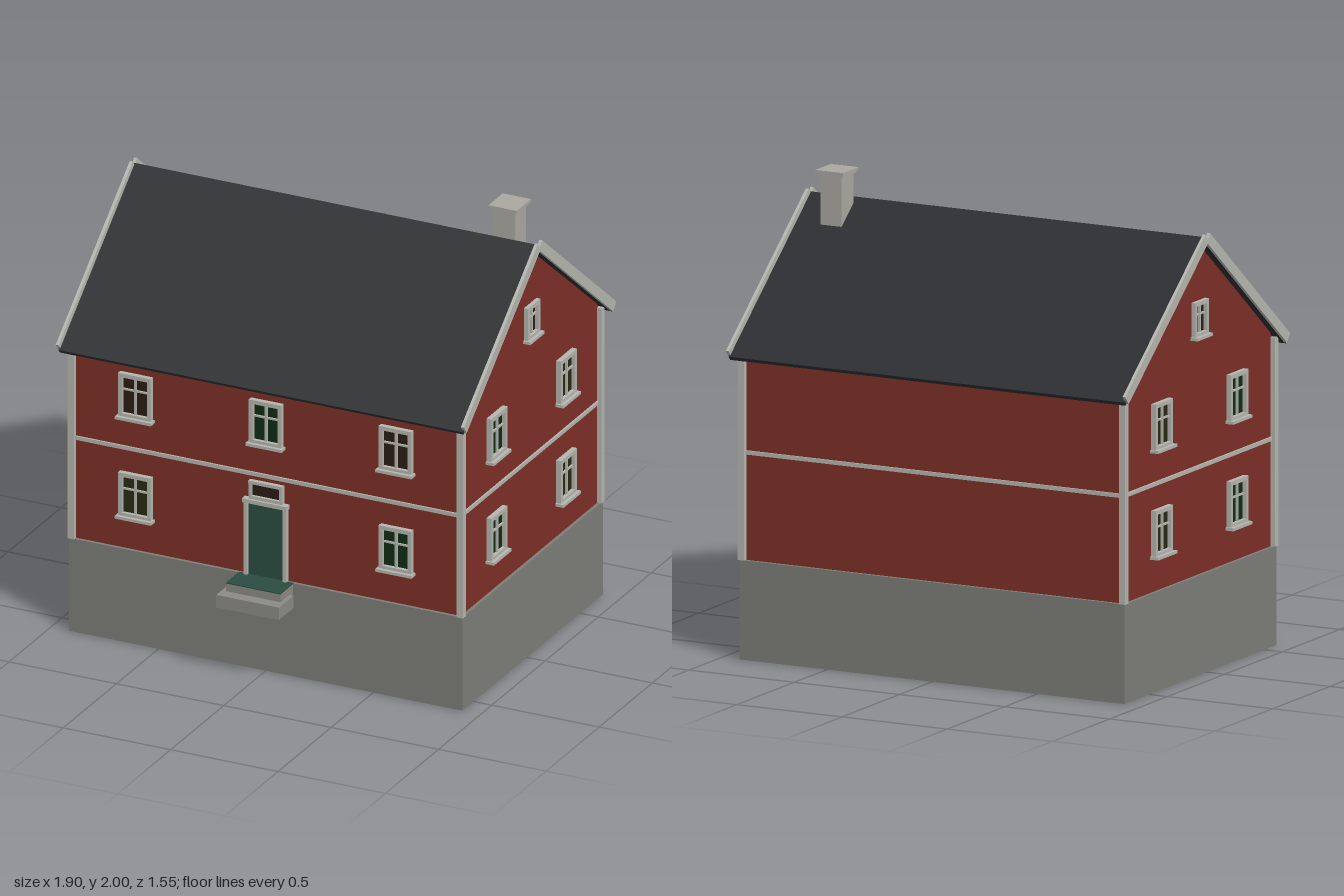
import * as THREE from 'three';

const mat = (color) => new THREE.MeshStandardMaterial({ color });
const RED = mat(0x7d3027), STONE = mat(0x7d7e78), TRIM = mat(0xb6b7b0), ROOF = mat(0x2d2e31);
const GREEN = mat(0x2b4c41), STEP = mat(0x8c8b85), BRICK = mat(0xaaa8a0);
const BROWN_GLASS = mat(0x2c1d14), GREEN_GLASS = mat(0x0f2c14), OLIVE_GLASS = mat(0x2b2a14);
const ZC = -0.055; // middle of the house in z
const PITCH = THREE.MathUtils.degToRad(38.8);

// Box given by its limits on each axis
function box(parent, name, material, [x0, x1], [y0, y1], [z0, z1]) {
  const mesh = new THREE.Mesh(new THREE.BoxGeometry(x1 - x0, y1 - y0, z1 - z0), material);
  mesh.position.set((x0 + x1) / 2, (y0 + y1) / 2, (z0 + z1) / 2);
  mesh.name = name;
  parent.add(mesh);
  return mesh;
}

// Cross-section in (z, y), extruded along x
function section(parent, name, material, points, halfWidth) {
  const shape = new THREE.Shape(points.map(([z, y]) => new THREE.Vector2(z, y)));
  const geo = new THREE.ExtrudeGeometry(shape, { depth: 2 * halfWidth, bevelEnabled: false });
  geo.rotateY(-Math.PI / 2).translate(halfWidth, 0, 0);
  const mesh = new THREE.Mesh(geo, material);
  mesh.name = name;
  parent.add(mesh);
}

// Pair of sloping boards; top corner of each is at height y, dz away from the ridge
function slopes(parent, name, material, x, width, y, dz, run, thick) {
  const len = run / Math.cos(PITCH);
  for (const side of [0, 1]) {
    const geo = new THREE.BoxGeometry(width, thick, len);
    geo.translate(0, -thick / 2, len / 2).rotateX(PITCH).translate(0, 0, dz);
    geo.rotateY(side * Math.PI);
    const mesh = new THREE.Mesh(geo, material);
    mesh.position.set(x, y, ZC);
    mesh.name = name;
    parent.add(mesh);
  }
}

// Window facing +z with its wall plane at z = 0, origin at bottom centre of the frame
function makeWindow(w, h, glass) {
  const g = new THREE.Group();
  g.name = 'window';
  const f = 0.018, a = w / 2, bar = h * 0.63;
  box(g, 'glass', glass, [-a + f, a - f], [f, h - f], [-0.01, 0.006]);
  for (const s of [-1, 1]) {
    const x = s * (a - f / 2);
    box(g, 'frameSide', TRIM, [x - f / 2, x + f / 2], [0, h], [-0.01, 0.023]);
  }
  box(g, 'frameTop', TRIM, [-a + f, a - f], [h - f, h], [-0.01, 0.023]);
  box(g, 'frameBottom', TRIM, [-a + f, a - f], [0, f], [-0.01, 0.023]);
  box(g, 'verticalBar', TRIM, [-0.005, 0.005], [f, h - f], [0, 0.015]);
  box(g, 'crossBar', TRIM, [-a + f, a - f], [bar - 0.004, bar + 0.004], [0, 0.014]);
  box(g, 'sill', TRIM, [-a - 0.008, a + 0.008], [-0.008, 0.005], [-0.01, 0.038]);
  return g;
}

export function createModel() {
  const house = new THREE.Group();
  house.name = 'house';

  // Foundation, walls and gables
  box(house, 'foundation', STONE, [-0.915, 0.915], [0, 0.425], [-0.715, 0.605]);
  box(house, 'walls', RED, [-0.9, 0.9], [0.425, 1.325], [-0.7, 0.59]);
  section(house, 'gable', RED, [[-0.7, 1.325], [0.59, 1.325], [ZC, 1.84]], 0.9);
  section(house, 'gableCladding', RED, [[-0.69, 1.336], [0.58, 1.336], [ZC, 1.84]], 0.904);

  // Floor band and corner boards
  box(house, 'floorBand', TRIM, [-0.908, 0.908], [0.876, 0.893], [-0.708, 0.598]);
  for (const sx of [-1, 1]) {
    for (const sz of [-1, 1]) {
      const x = sx * 0.906, z = ZC + sz * 0.651;
      box(house, 'cornerBoard', TRIM, [x - 0.015, x + 0.015], [0.425, 1.318], [z - 0.015, z + 0.015]);
    }
  }

  // Roof and gable-edge boards
  slopes(house, 'roof', ROOF, 0, 1.88, 1.87, 0, 0.71, 0.02);
  for (const s of [-1, 1]) slopes(house, 'bargeBoard', TRIM, s * 0.943, 0.014, 1.885, 0.02, 0.697, 0.045);

  // Chimney
  const chimney = new THREE.Group();
  chimney.name = 'chimney';
  box(chimney, 'shaft', BRICK, [0.72, 0.82], [1.7, 1.98], [-0.185, -0.082]);
  box(chimney, 'capLower', BRICK, [0.711, 0.829], [1.978, 1.987], [-0.194, -0.073]);
  box(chimney, 'cap', BRICK, [0.704, 0.836], [1.987, 2], [-0.201, -0.066]);
  house.add(chimney);

  // Front windows: x, y, glass
  for (const [x, y, glass] of [
    [-0.608, 1.03, BROWN_GLASS], [0, 1.03, GREEN_GLASS], [0.605, 1.03, BROWN_GLASS],
    [-0.608, 0.575, OLIVE_GLASS], [0.605, 0.575, GREEN_GLASS],
  ]) {
    const w = makeWindow(0.152, 0.2, glass);
    w.position.set(x, y, 0.59);
    house.add(w);
  }

  // Gable-end windows: z, y, width, height, glass
  for (const s of [-1, 1]) {
    for (const [z, y, width, height, glass] of [
      [0.272, 1.03, 0.15, 0.2, GREEN_GLASS], [-0.382, 1.03, 0.15, 0.2, OLIVE_GLASS],
      [0.272, 0.575, 0.15, 0.2, GREEN_GLASS], [-0.382, 0.575, 0.15, 0.2, OLIVE_GLASS],
      [ZC, 1.445, 0.118, 0.152, BROWN_GLASS],
    ]) {
      const w = makeWindow(width, height, glass);
      w.position.set(s * 0.9, y, z);
      w.rotation.y = s * Math.PI / 2;
      house.add(w);
    }
  }

  // Front door with transom light
  const door = new THREE.Group();
  door.name = 'frontDoor';
  box(door, 'doorLeaf', GREEN, [-0.085, 0.085], [0.425, 0.757], [0.58, 0.6]);
  for (const s of [-1, 1]) {
    box(door, 'jamb', TRIM, [s * 0.091 - 0.008, s * 0.091 + 0.008], [0.425, 0.757], [0.58, 0.614]);
    box(door, 'transomSide', TRIM, [s * 0.072 - 0.007, s * 0.072 + 0.007], [0.775, 0.857], [0.58, 0.61]);
  }
  box(door, 'lintel', TRIM, [-0.104, 0.104], [0.757, 0.775], [0.58, 0.62]);
  box(door, 'transomGlass', BROWN_GLASS, [-0.066, 0.066], [0.775, 0.845], [0.58, 0.597]);
  box(door, 'transomTop', TRIM, [-0.079, 0.079], [0.843, 0.857], [0.58, 0.611]);
  box(door, 'transomBottom', TRIM, [-0.066, 0.066], [0.775, 0.789], [0.58, 0.61]);
  house.add(door);

  // Entrance steps
  const steps = new THREE.Group();
  steps.name = 'steps';
  box(steps, 'upperStep', STEP, [-0.127, 0.127], [0.376, 0.422], [0.6, 0.724]);
  box(steps, 'landing', GREEN, [-0.127, 0.127], [0.422, 0.426], [0.6, 0.724]);
  box(steps, 'lowerStep', STEP, [-0.146, 0.146], [0.33, 0.387], [0.64, 0.776]);
  house.add(steps);

  return house;
}
